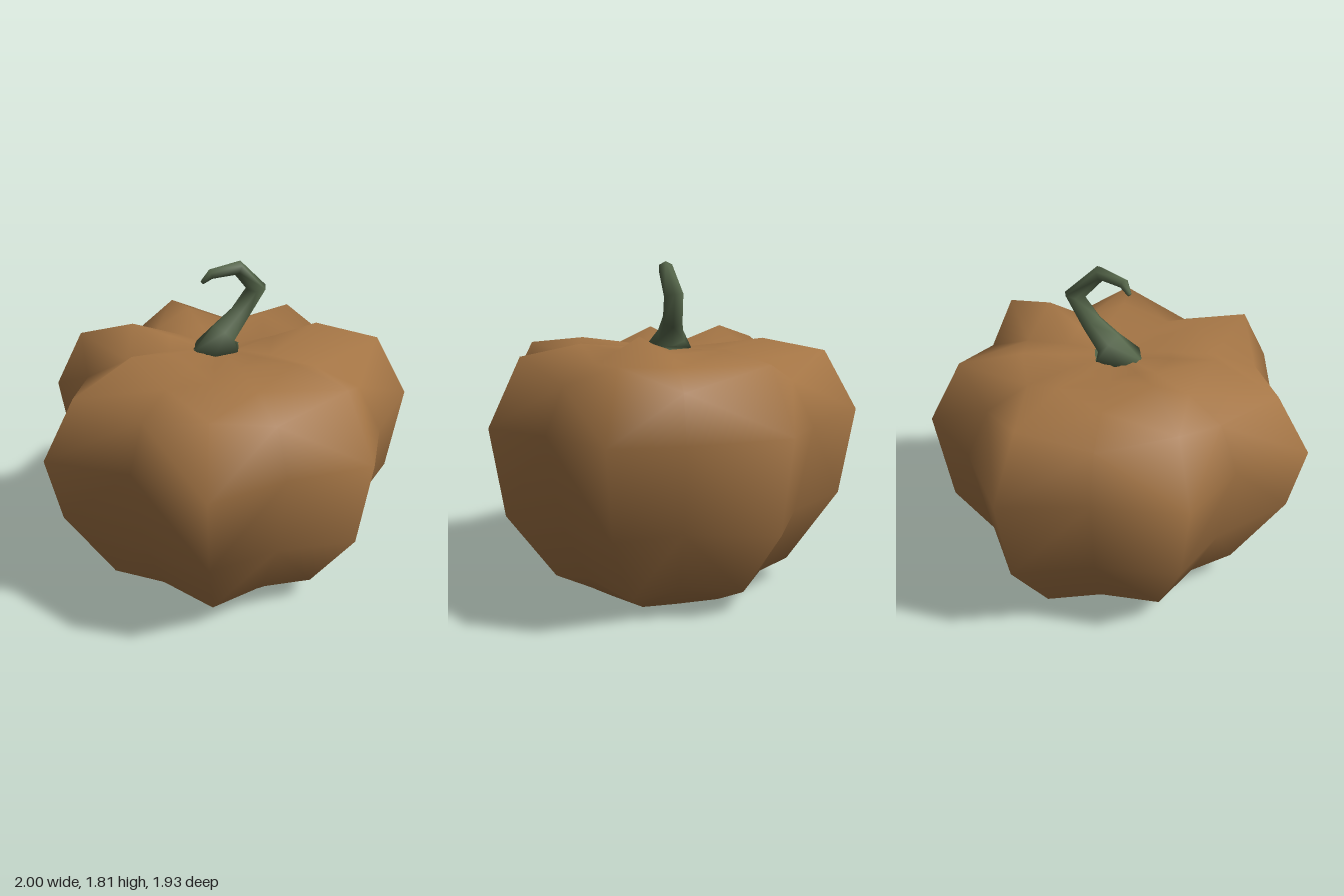
import * as THREE from 'three';

const skin = new THREE.MeshStandardMaterial({ color: 0xa47545 });
skin.name = 'pumpkin brown';
const green = new THREE.MeshStandardMaterial({ color: 0x55664a });
green.name = 'stem green';

// Joins closed rings of points (bottom to top) into one smooth capped surface
function loft(rings, bottom, top, material, name) {
  const n = rings[0].length;
  const points = [...rings.flat(), bottom, top];
  const low = points.length - 2, high = points.length - 1;
  const last = (rings.length - 1) * n;
  const index = [];
  for (let i = 0; i < n; i++) {
    const k = (i + 1) % n;
    for (let r = 0; r < rings.length - 1; r++) {
      const a = r * n + i, b = r * n + k, c = a + n, d = b + n;
      // alternate the diagonals so each lobe is symmetric
      if (i % 2) index.push(a, b, c, b, d, c);
      else index.push(a, b, d, a, d, c);
    }
    index.push(low, k, i, high, last + i, last + k);
  }
  const geometry = new THREE.BufferGeometry();
  geometry.setAttribute('position',
    new THREE.Float32BufferAttribute(points.flatMap((p) => p.toArray()), 3));
  geometry.setIndex(index);
  geometry.computeVertexNormals();
  const mesh = new THREE.Mesh(geometry, material);
  mesh.name = name;
  return mesh;
}

// Seven uneven lobes: ridge [x, z] at the widest point, heights of the lower
// belly, widest point, shoulder and peak, then the groove [x, z] after it
const LOBES = [
  { ridge: [-0.03, 0.965], heights: [0.49, 0.97, 1.33, 1.38], groove: [0.32, 0.79] },
  { ridge: [0.79, 0.68], heights: [0.53, 1.0, 1.345, 1.45], groove: [0.84, 0.29] },
  { ridge: [1.0, -0.21], heights: [0.49, 1.0, 1.33, 1.37], groove: [0.75, -0.51] },
  { ridge: [0.55, -0.955], heights: [0.52, 1.0, 1.325, 1.39], groove: [0.1, -0.91] },
  { ridge: [-0.37, -0.97], heights: [0.56, 1.0, 1.33, 1.42], groove: [-0.61, -0.61] },
  { ridge: [-1.0, -0.38], heights: [0.59, 0.95, 1.25, 1.4], groove: [-0.86, 0.09] },
  { ridge: [-0.86, 0.58], heights: [0.57, 1.0, 1.32, 1.365], groove: [-0.43, 0.72] },
];

// Profiles [scale of outline, height], bottom to top
const ridgeProfile = ([belly, wide, shoulder, peak]) => [
  [0.46, 0.005], [0.66, belly * 0.23], [0.925, belly], [1, wide],
  [0.825, shoulder], [0.5, peak], [0.28, 1.335 + (peak - 1.335) * 0.45], [0.12, 1.335]];
const GROOVE = [[0.5, 0.01], [0.7, 0.17], [0.9, 0.52], [1, 0.98],
  [0.86, 1.21], [0.6, 1.295], [0.32, 1.33], [0.12, 1.335]];

function pumpkinBody() {
  const columns = LOBES.flatMap(({ ridge, heights, groove }) => [
    { at: ridge, profile: ridgeProfile(heights) },
    { at: groove, profile: GROOVE },
  ]);
  const rings = GROOVE.map((_, r) => columns.map(({ at: [x, z], profile }) => {
    const [s, y] = profile[r];
    return new THREE.Vector3(x * s, y, z * s - 0.06 * (1 - s));
  }));
  return loft(rings, new THREE.Vector3(0, 0, -0.04),
    new THREE.Vector3(0, 1.33, -0.06), skin, 'pumpkinBody');
}

// Crooked stem: [x, y, z, radius] along its centre line
const STEM = [
  [0.0, 1.335, -0.07, 0.14], [0.05, 1.405, -0.06, 0.08],
  [0.14, 1.5, -0.02, 0.058], [0.23, 1.635, 0.025, 0.056],
  [0.095, 1.77, 0.0, 0.04], [-0.03, 1.75, -0.08, 0.028],
  [-0.06, 1.705, -0.115, 0.012],
];

function stem() {
  const centres = STEM.map(([x, y, z]) => new THREE.Vector3(x, y, z));
  const side = new THREE.Vector3(-0.4, 0, 0.92).normalize();
  const rings = centres.map((centre, j) => {
    const before = centres[Math.max(j - 1, 0)];
    const after = centres[Math.min(j + 1, centres.length - 1)];
    const along = j === 0 ? new THREE.Vector3(0, 1, 0) : after.clone().sub(before).normalize();
    const u = new THREE.Vector3().crossVectors(side, along).normalize();
    const v = new THREE.Vector3().crossVectors(along, u);
    return Array.from({ length: 6 }, (_, i) => {
      const t = (i / 6) * Math.PI * 2;
      return centre.clone()
        .addScaledVector(u, Math.cos(t) * STEM[j][3])
        .addScaledVector(v, Math.sin(t) * STEM[j][3]);
    });
  });
  return loft(rings, centres[0], centres[centres.length - 1], green, 'stem');
}

export function createModel() {
  const group = new THREE.Group();
  group.name = 'pumpkin';
  group.add(pumpkinBody(), stem());
  return group;
}
